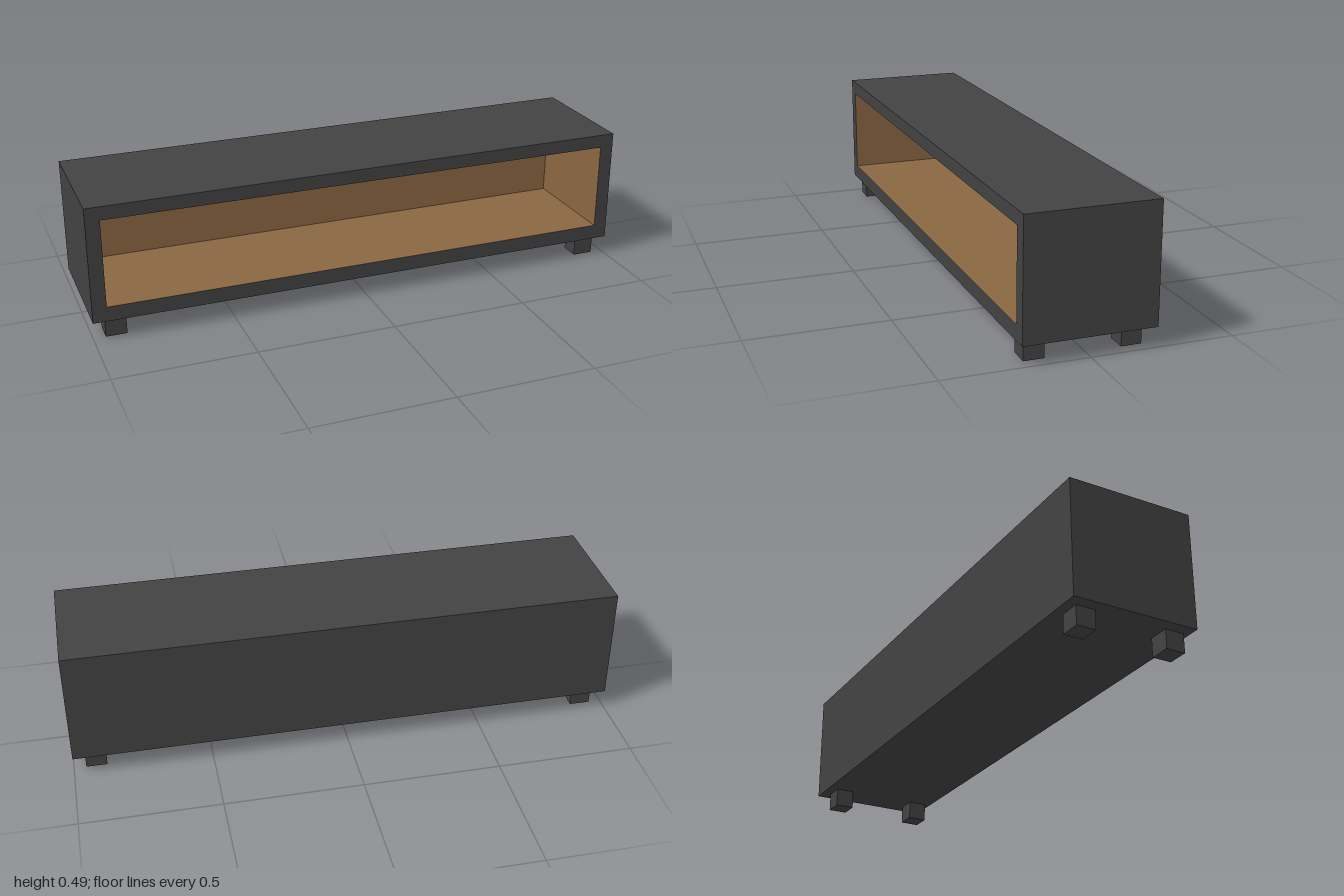
import * as THREE from 'three';

export function createModel() {
  const dark = new THREE.MeshStandardMaterial({ color: 0x424242 });
  dark.name = 'charcoal lacquer';
  const wood = new THREE.MeshStandardMaterial({ color: 0x8a6642 });
  wood.name = 'brown wood';

  const group = new THREE.Group();
  group.name = 'lowCabinet';

  // Box from its min and max corners; woodFace is the side index (+x -x +y -y +z -z) lined with wood
  function addBox(name, [x0, y0, z0], [x1, y1, z1], woodFace = -1) {
    const geometry = new THREE.BoxGeometry(x1 - x0, y1 - y0, z1 - z0);
    const materials = [0, 1, 2, 3, 4, 5].map((i) => (i === woodFace ? wood : dark));
    const mesh = new THREE.Mesh(geometry, woodFace < 0 ? dark : materials);
    mesh.position.set((x0 + x1) / 2, (y0 + y1) / 2, (z0 + z1) / 2);
    mesh.name = name;
    group.add(mesh);
  }

  const bottom = 0.069, top = 0.493, half = 0.231; // outer shell
  const floorY = 0.123, ceilingY = 0.444, innerX = 0.949, innerZ = -0.17; // open compartment

  // Shell panels, each wood-faced towards the compartment
  addBox('topPanel', [-1, ceilingY, -half], [1, top, half], 3);
  addBox('bottomPanel', [-1, bottom, -half], [1, floorY, half], 2);
  addBox('rightPanel', [-1, floorY, -half], [-innerX, ceilingY, half], 0);
  addBox('leftPanel', [innerX, floorY, -half], [1, ceilingY, half], 1);
  addBox('backPanel', [-innerX, floorY, -half], [innerX, ceilingY, innerZ], 4);

  // Four square feet
  for (const [side, x] of [['right', -0.956], ['left', 0.881]]) {
    for (const [end, z] of [['Front', 0.139], ['Back', -0.195]]) {
      addBox(side + end + 'Foot', [x, 0, z], [x + 0.075, bottom, z + 0.071]);
    }
  }
  return group;
}
